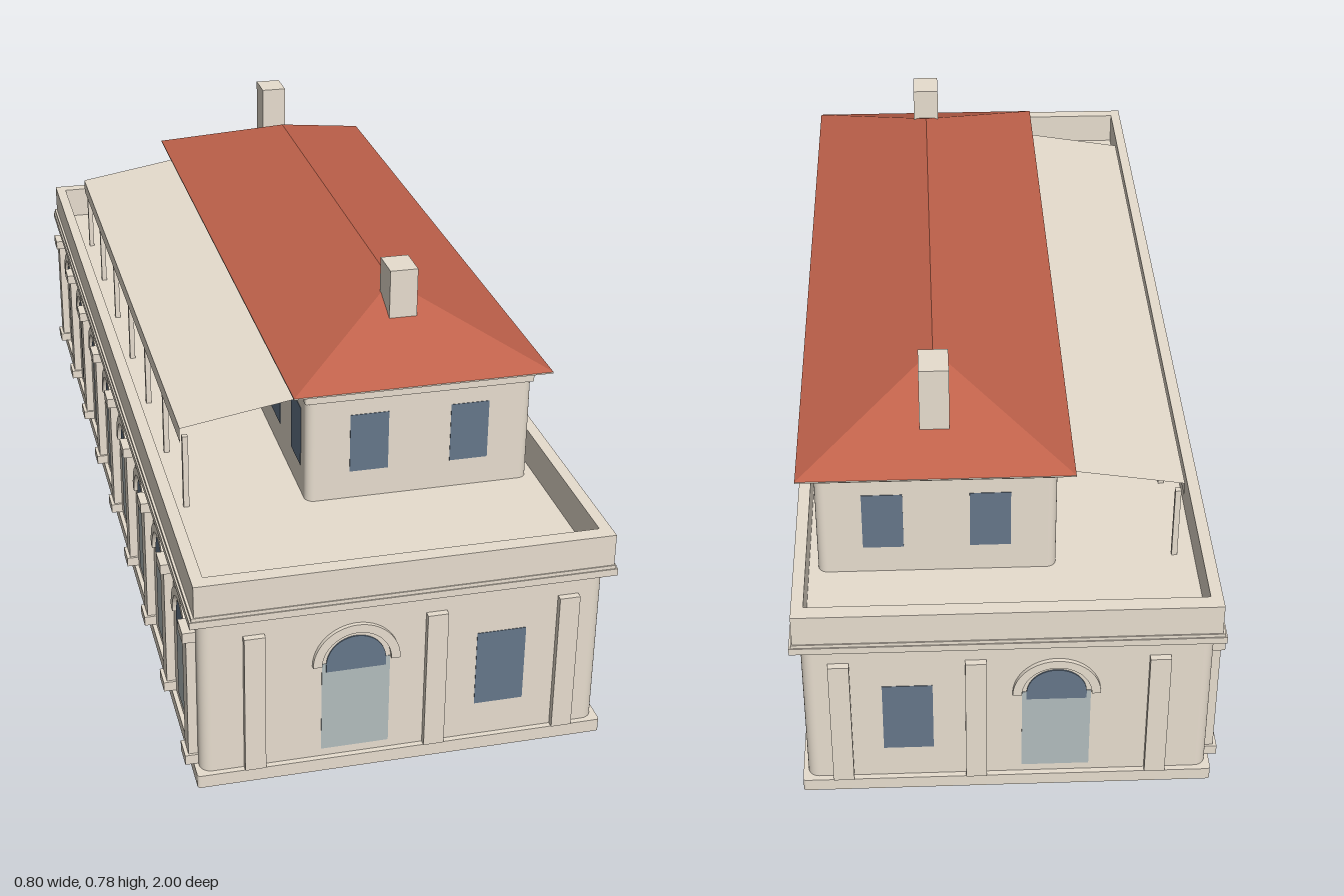
import * as THREE from 'three';
import { toCreasedNormals } from 'three/addons/utils/BufferGeometryUtils.js';

const material = (name, color) => {
  const m = new THREE.MeshStandardMaterial({ color });
  m.name = name;
  return m;
};

export function createModel() {
  const model = new THREE.Group();
  model.name = 'villa';
  const stone = material('stone', 0xe7ddce);
  stone.side = THREE.DoubleSide; // the canopy is an open sheet
  const tile = material('roofTile', 0xc0624b);
  const glass = material('windowGlass', 0x657689);
  const doorPaint = material('doorGlass', 0xb2bcbd);

  function add(parent, name, geometry, mat) {
    const mesh = new THREE.Mesh(geometry, mat);
    mesh.name = name;
    parent.add(mesh);
    return mesh;
  }
  // Box given by its limits on each axis
  function box(parent, name, mat, x0, x1, y0, y1, z0, z1) {
    const g = new THREE.BoxGeometry(x1 - x0, y1 - y0, z1 - z0);
    g.translate((x0 + x1) / 2, (y0 + y1) / 2, (z0 + z1) / 2);
    return add(parent, name, g, mat);
  }
  // Rectangle outline with rounded corners
  function roundedRect(w, d, r) {
    const s = new THREE.Shape();
    s.absarc(w - r, d - r, r, 0, Math.PI / 2);
    s.absarc(-w + r, d - r, r, Math.PI / 2, Math.PI);
    s.absarc(-w + r, -d + r, r, Math.PI, Math.PI * 1.5);
    s.absarc(w - r, -d + r, r, Math.PI * 1.5, Math.PI * 2);
    s.closePath();
    return s;
  }
  // Upright block with smooth rounded corners; w and d are half sizes
  function block(name, w, d, r, y0, y1, cx, cz) {
    const g = new THREE.ExtrudeGeometry(roundedRect(w, d, r), { depth: y1 - y0, bevelEnabled: false, curveSegments: 6 });
    g.rotateX(-Math.PI / 2);
    const p = g.attributes.position, n = g.attributes.normal;
    const offset = (v, limit) => v - THREE.MathUtils.clamp(v, -limit, limit);
    for (let i = 0; i < p.count; i++) {
      if (Math.abs(n.getY(i)) > 0.5) continue;
      const v = new THREE.Vector3(offset(p.getX(i), w - r), 0, offset(p.getZ(i), d - r)).normalize();
      n.setXYZ(i, v.x, 0, v.z);
    }
    g.translate(cx, y0, cz);
    return add(model, name, g, stone);
  }
  // Rectangular frame around the building, limits as half sizes
  function frame(name, w, d, holeW, holeD, y0, y1, x) {
    const corners = (a, b) => [[-a, -b], [a, -b], [a, b], [-a, b]].map(p => new THREE.Vector2(...p));
    const s = new THREE.Shape(corners(w, d));
    s.holes.push(new THREE.Path(corners(holeW, holeD).reverse()));
    const g = new THREE.ExtrudeGeometry(s, { depth: y1 - y0, bevelEnabled: false });
    g.rotateX(-Math.PI / 2);
    g.translate(x, y0, 0);
    add(model, name, g, stone);
  }
  // Wall frame: local x runs along the wall, local z points outwards
  function wall(name, x, z, angle) {
    const g = new THREE.Group();
    g.name = name;
    g.position.set(x, 0, z);
    g.rotation.y = angle;
    model.add(g);
    return g;
  }
  const pane = (w, x, y0, y1, width) =>
    box(w, 'window', glass, x - width / 2, x + width / 2, y0, y1, -0.002, 0.001);

  // Round-topped plate, straight from y0 to the springing line
  function archPlate(w, name, mat, x, y0, spring, r, z) {
    const s = new THREE.Shape();
    s.moveTo(-r, y0);
    s.lineTo(r, y0);
    s.absarc(0, spring, r, 0, Math.PI);
    s.closePath();
    const g = new THREE.ExtrudeGeometry(s, { depth: 0.004, bevelEnabled: false, curveSegments: 16 });
    g.translate(x, 0, z - 0.004);
    add(w, name, g, mat);
  }
  // Raised half-ring moulding
  function archTrim(w, x, spring, inner, outer) {
    const s = new THREE.Shape();
    s.absarc(0, spring, outer, 0, Math.PI);
    s.absarc(0, spring, inner, Math.PI, 0, true);
    s.closePath();
    const g = new THREE.ExtrudeGeometry(s, { depth: 0.01, bevelEnabled: false, curveSegments: 16 });
    g.translate(x, 0, -0.002);
    add(w, 'archTrim', toCreasedNormals(g, 0.5), stone);
  }
  function archedDoor(w, x) {
    box(w, 'door', doorPaint, x - 0.064, x + 0.064, 0.042, 0.23, -0.002, 0.001);
    archPlate(w, 'fanlight', glass, x, 0.212, 0.227, 0.056, 0.0025);
    archTrim(w, x, 0.228, 0.065, 0.082);
  }

  // Ground floor: plinth, body, deck, stepped cornice and parapet
  const W = 0.38, D = 0.983, ox = 0.0025;
  block('plinth', 0.389, 0.994, 0.006, 0, 0.026, 0.003, 0);
  block('groundFloor', W, D, 0.022, 0.026, 0.352, ox, 0);
  box(model, 'roofDeck', stone, -0.373, 0.38, 0.345, 0.362, -0.975, 0.975);
  frame('corniceLower', 0.3985, 1.0, 0.376, 0.978, 0.351, 0.365, ox);
  frame('corniceUpper', 0.395, 0.998, 0.376, 0.978, 0.365, 0.372, ox);
  frame('parapet', 0.391, 0.996, 0.3685, 0.967, 0.362, 0.435, 0.0035);

  // End walls: three pilasters, one arched door, one window
  for (const side of [1, -1]) {
    const w = wall(side > 0 ? 'frontWall' : 'backWall', 0, side * D, side > 0 ? 0 : Math.PI);
    for (const x of [-0.278, 0.062, 0.314])
      box(w, 'pilaster', stone, side * x - 0.0195, side * x + 0.0195, 0.026, 0.312, -0.005, 0.013);
    archedDoor(w, side * -0.088);
    pane(w, side * 0.189, 0.096, 0.252, 0.094);
  }

  // Left wall: eight windows about a central arched door
  const left = wall('leftWall', W + ox, 0, Math.PI / 2);
  for (const z of [0.845, 0.655, 0.467, 0.275, -0.29, -0.477, -0.665, -0.853]) pane(left, -z, 0.095, 0.254, 0.092);
  archPlate(left, 'sideDoor', doorPaint, 0, 0.027, 0.226, 0.075, 0.001);
  archTrim(left, 0, 0.228, 0.076, 0.096);

  // Right wall: arcade of eight bays between nine pilasters
  const right = wall('rightWall', -W + ox, 0, -Math.PI / 2);
  const bay = 0.233;
  for (let i = 0; i <= 8; i++) {
    const x = (i - 4) * bay;
    box(right, 'pilasterShaft', stone, x - 0.019, x + 0.019, 0.04, 0.3, -0.005, 0.0175);
    box(right, 'pilasterBase', stone, x - 0.024, x + 0.024, 0.027, 0.047, -0.005, 0.0245);
    box(right, 'pilasterCapital', stone, x - 0.024, x + 0.024, 0.294, 0.315, -0.005, 0.0245);
    if (i < 8) archedDoor(right, x + bay / 2);
  }

  // Upper floor
  const cx = 0.128, cz = -0.075, uw = 0.226, ud = 0.709;
  block('upperFloor', uw, ud, 0.018, 0.355, 0.58, cx, cz);
  block('upperBand', uw + 0.003, ud + 0.003, 0.004, 0.576, 0.603, cx, cz);
  for (const side of [1, -1]) {
    const end = wall(side > 0 ? 'upperFrontWall' : 'upperBackWall', cx, cz + side * ud, side > 0 ? 0 : Math.PI);
    for (const x of [-0.101, 0.101]) pane(end, x, 0.42, 0.543, 0.077);
    const flank = wall(side > 0 ? 'upperLeftWall' : 'upperRightWall', cx + side * uw, cz, side * Math.PI / 2);
    for (let i = 0; i < 8; i++) pane(flank, (i - 3.5) * 0.178, 0.42, 0.546, 0.08);
  }

  // Hipped roof over a thin soffit
  const x0 = -0.129, x1 = 0.385, z0 = -0.82, z1 = 0.662, e = 0.605;
  box(model, 'soffit', stone, x0, x1, e - 0.003, e, z0, z1);
  const A = [x0, e, z1], B = [x1, e, z1], C = [x1, e, z0], E = [x0, e, z0];
  const R1 = [cx, 0.716, 0.41], R0 = [cx, 0.716, -0.56];
  const roof = new THREE.BufferGeometry();
  roof.setAttribute('position', new THREE.Float32BufferAttribute(
    [A, B, R1, B, C, R0, B, R0, R1, C, E, R0, E, A, R1, E, R1, R0].flat(), 3));
  roof.computeVertexNormals();
  add(model, 'hippedRoof', roof, tile);
  for (const z of [0.465, -0.687])
    box(model, 'chimney', stone, cx - 0.028, cx + 0.028, 0.62, 0.776, z - 0.036, z + 0.036);

  // Terrace canopy: a sheet sloping up to the upper wall, with a thin fascia on slim posts
  const run = 0.242, rise = 0.04, eave = 0.536, length = 1.364;
  const canopy = add(model, 'canopy', new THREE.PlaneGeometry(Math.hypot(run, rise), length).rotateX(-Math.PI / 2), stone);
  canopy.position.set(-0.338 + run / 2, eave + rise / 2, -0.08);
  canopy.rotation.z = Math.atan2(rise, run);
  const fascia = add(model, 'canopyFascia', new THREE.PlaneGeometry(length, 0.03).rotateY(-Math.PI / 2), stone);
  fascia.position.set(-0.338, eave - 0.015, -0.08);
  for (let i = 0; i < 7; i++) {
    const z = -0.754 + i * 0.2247;
    box(model, 'canopyPost', stone, -0.333, -0.322, 0.355, 0.516, z - 0.0055, z + 0.0055);
  }
  return model;
}
